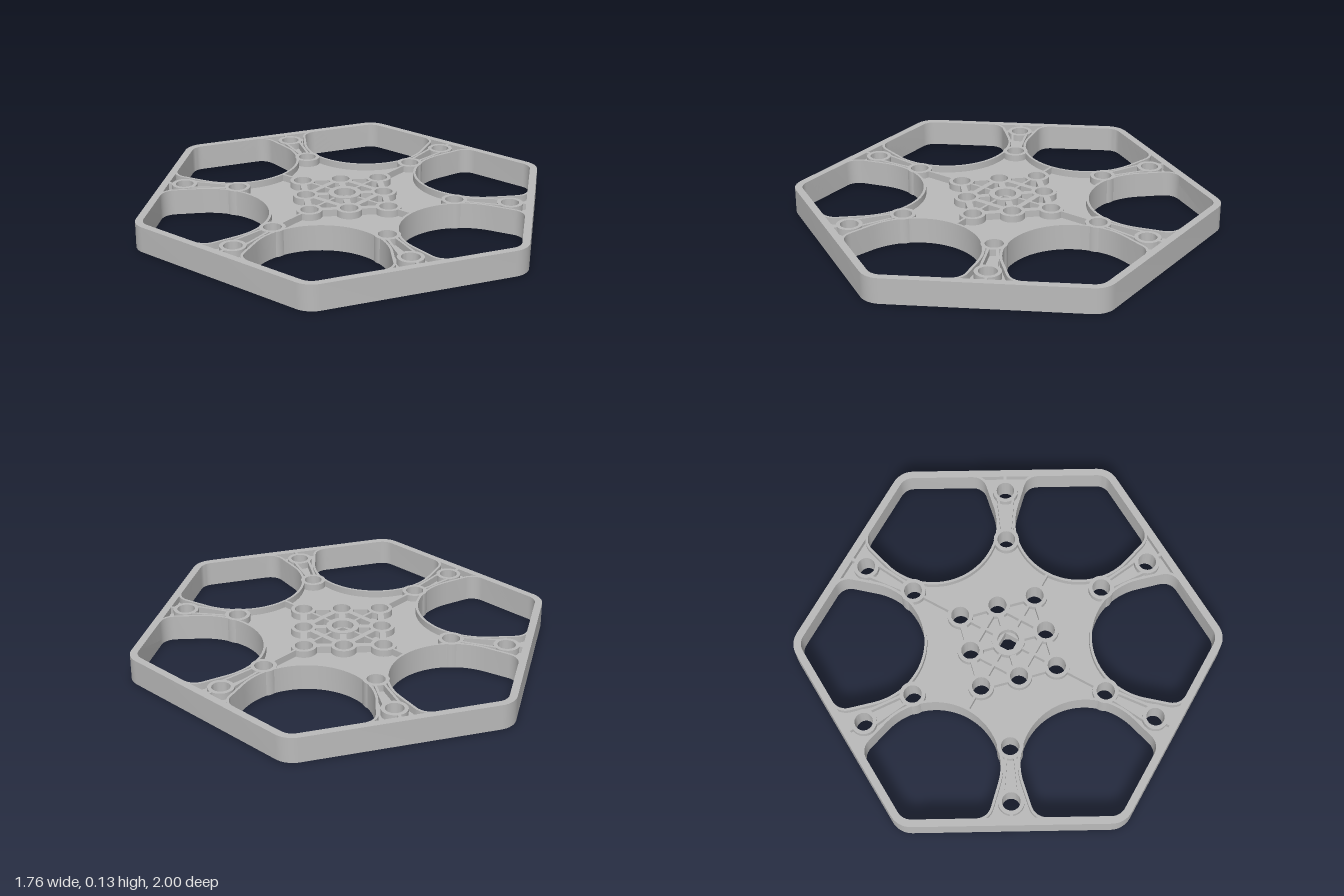
import * as THREE from 'three';
import { toCreasedNormals } from 'three/addons/utils/BufferGeometryUtils.js';

const V = (x, y) => new THREE.Vector2(x, y);
const polar = (r, deg) => V(r * Math.cos(deg * Math.PI / 180), r * Math.sin(deg * Math.PI / 180));
const turn = (pts, deg) => pts.map(p => p.clone().rotateAround(V(0, 0), deg * Math.PI / 180));

const Y0 = 0.004, Y1 = 0.126;       // rim, walls and ribs
const WEB0 = 0.036, WEB1 = 0.094;   // recessed plate
const HOLE = 0.042, BOSS = 0.06;

// Points of a circular arc that rounds corner p between neighbours a and b
function fillet(a, p, b, r, n = 8) {
  const u = a.clone().sub(p).normalize(), v = b.clone().sub(p).normalize();
  const half = Math.acos(u.dot(v)) / 2;
  const c = u.clone().add(v).normalize().multiplyScalar(r / Math.sin(half)).add(p);
  const s = u.multiplyScalar(r / Math.tan(half)).add(p).sub(c);
  const e = v.multiplyScalar(r / Math.tan(half)).add(p).sub(c);
  const sweep = Math.atan2(s.cross(e), s.dot(e));
  return Array.from({ length: n + 1 }, (_, i) => s.clone().rotateAround(V(0, 0), sweep * i / n).add(c));
}

// Hexagon with rounded corners, flat sides facing left and right
function hexagon(apothem, r) {
  const c = Array.from({ length: 6 }, (_, i) => polar(apothem / Math.cos(Math.PI / 6), 30 + 60 * i));
  return c.flatMap((p, i) => fillet(c[(i + 5) % 6], p, c[(i + 1) % 6], r));
}

const circle = (r, x = 0, y = 0, n = 36) =>
  Array.from({ length: n }, (_, i) => polar(r, 360 * i / n).add(V(x, y)));

// Window between two spokes, pointing along +x, grown outward by d
function windowOutline(d) {
  const R = 0.3 + d, a = 0.845 + d, cx = 0.69, phi = 103;
  const arc = [];
  for (let i = 0; i <= 40; i++) arc.push(polar(R, phi + (360 - 2 * phi) * i / 40).add(V(cx, 0)));
  const dir = polar(1, phi - 90), n = polar(1, 30), T = arc[0];
  const A = dir.clone().multiplyScalar((a - T.dot(n)) / dir.dot(n)).add(T);
  const B = V(A.x, -A.y), apex = V(a / Math.cos(Math.PI / 6), 0);
  return [...arc, ...fillet(arc[40], B, apex, 0.07 + d), ...fillet(B, apex, A, 0.07 + d),
    ...fillet(apex, A, T, 0.07 + d)];
}

// Flat outline with holes raised between two heights
function slab(outline, holes, y0, y1) {
  const shape = new THREE.Shape(outline);
  holes.forEach(h => shape.holes.push(new THREE.Path(h)));
  const g = new THREE.ExtrudeGeometry(shape, { depth: y1 - y0, bevelEnabled: false });
  g.rotateX(-Math.PI / 2).translate(0, y0, 0);
  return toCreasedNormals(g, 0.5);
}

export function createModel() {
  const group = new THREE.Group();
  const grey = new THREE.MeshStandardMaterial({ color: 0xbababa });
  grey.name = 'grey';
  const add = (name, geometry) => {
    const m = new THREE.Mesh(geometry, grey);
    m.name = name;
    group.add(m);
  };
  const rib = (name, a, b, width = 0.014) => {
    const g = new THREE.BoxGeometry(a.distanceTo(b), Y1 - Y0, width);
    g.rotateY(Math.atan2(b.y - a.y, b.x - a.x));
    g.translate((a.x + b.x) / 2, (Y0 + Y1) / 2, -(a.y + b.y) / 2);
    add(name, g);
  };
  // Rib between two bosses, stopping inside their rings
  const link = (name, a, b, w) => {
    const d = b.clone().sub(a).setLength(BOSS - 0.006);
    rib(name, a.clone().add(d), b.clone().sub(d), w);
  };

  // Boss positions: ring round the hub and two on each spoke
  const inner = [], spoke = [];
  for (let i = 0; i < 8; i++) inner.push(polar(i % 2 ? 0.183 : 0.257, 45 * i));
  for (let i = 0; i < 6; i++) spoke.push(polar(0.513, 60 * i), polar(0.77, 60 * i));
  const bosses = [...inner, ...spoke];
  const angles = [30, 90, 150, 210, 270, 330];
  const bore = [V(-0.035, -0.035), V(0.035, -0.035), V(0.035, 0.035), V(-0.035, 0.035)];

  // Recessed plate with windows, bolt holes and square bore
  add('web', slab(hexagon(0.87, 0.1), [
    ...angles.map(t => turn(windowOutline(0.003), t)),
    ...bosses.map(p => circle(HOLE + 0.002, p.x, p.y)), bore], WEB0, WEB1));

  // Outer rim and the wall round each window
  add('rim', slab(hexagon(0.88, 0.105), [hexagon(0.845, 0.07)], Y0, Y1));
  angles.forEach(t => add('windowWall',
    slab(turn(windowOutline(0.012), t), [turn(windowOutline(0), t)], Y0, Y1)));

  // Bosses and hub
  bosses.forEach(p => add('boss',
    slab(circle(BOSS, p.x, p.y), [circle(HOLE, p.x, p.y)], Y0, Y1)));
  add('hub', slab(circle(0.077), [circle(0.05)], 0, 0.13));

  // Ribs linking the inner bosses to each other and to the hub
  inner.forEach((p, i) => {
    link('bossRib', p, inner[(i + 1) % 8], 0.03);
    const end = p.clone().setLength(p.length() - BOSS + 0.006);
    rib('hubRib', p.clone().setLength(0.072), end, i % 2 ? 0.03 : 0.012);
    if (i % 2) link('squareRib', p, inner[(i + 2) % 8], 0.026);
  });

  // Long ribs along the four axes
  for (const s of [1, -1]) {
    link('axisRib', V(0.257 * s, 0), V(0.513 * s, 0), 0.012);
    rib('axisRib', V(0, 0.31 * s), V(0, 0.384 * s), 0.012);
  }

  // Twin rails along each spoke and a short rib to the rim
  for (let i = 0; i < 6; i++) {
    for (const s of [1, -1]) {
      const [a, b] = turn([V(0.562, 0.02 * s), V(0.735, 0.036 * s)], 60 * i);
      rib('spokeRail', a, b, 0.012);
    }
    rib('rimRib', polar(0.822, 60 * i), polar(0.85, 60 * i), 0.014);
  }
  return group;
}
